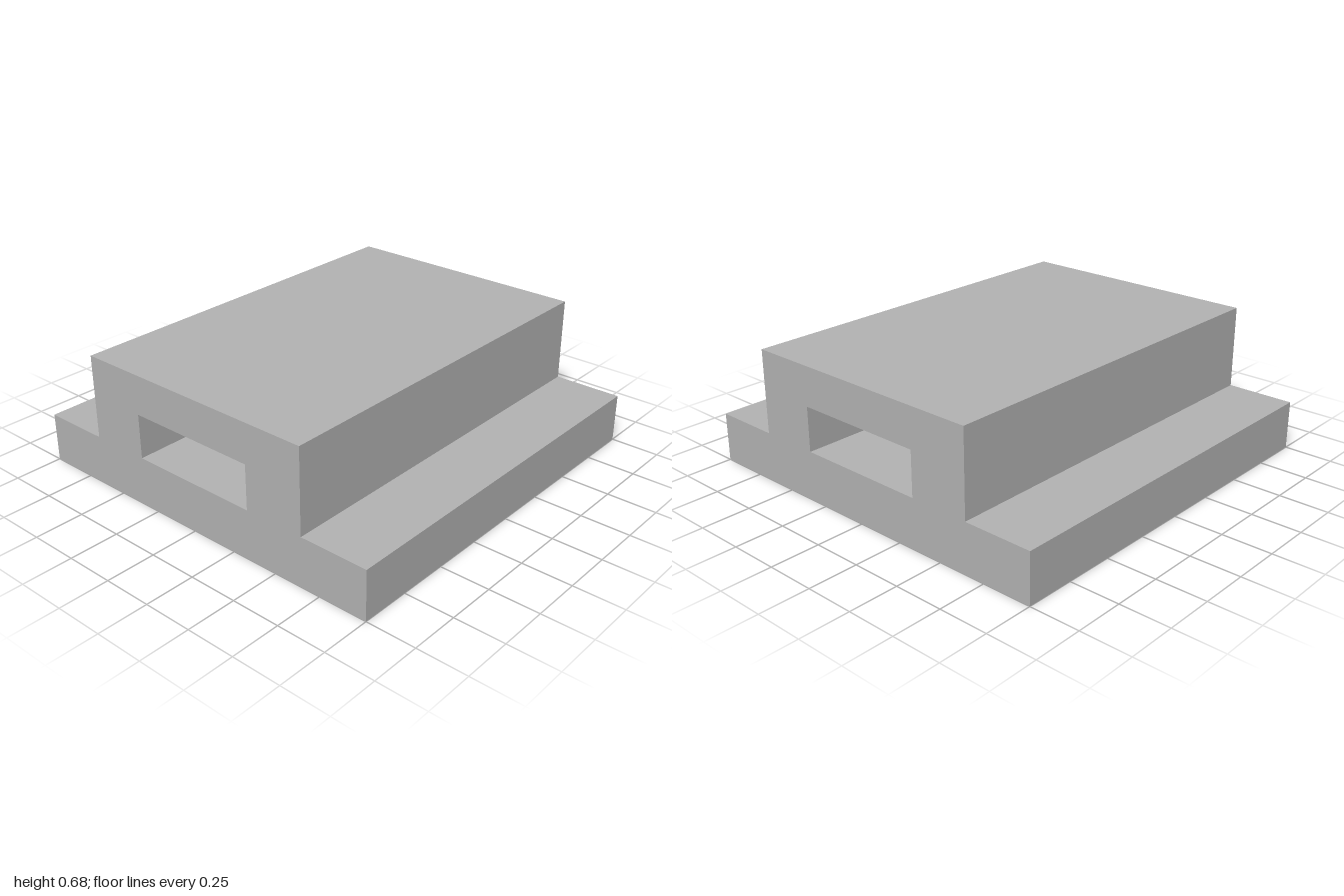
import * as THREE from 'three';

// Profile dimensions
const HALF_WIDTH = 1, DEPTH = 2;
const BASE_TOP = 0.25, TOP = 0.675;
const RAISED_HALF = 0.65;
const SLOT_HALF = 0.34, SLOT_TOP = 0.475;

const toPoints = (pairs) => pairs.map(([x, y]) => new THREE.Vector2(x, y));

export function createModel() {
  const grey = new THREE.MeshStandardMaterial({ color: 0xb2b2b2 });
  grey.name = 'plain grey';

  // Stepped outline: wide base with a raised centre
  const profile = new THREE.Shape(toPoints([
    [-HALF_WIDTH, 0], [HALF_WIDTH, 0], [HALF_WIDTH, BASE_TOP],
    [RAISED_HALF, BASE_TOP], [RAISED_HALF, TOP],
    [-RAISED_HALF, TOP], [-RAISED_HALF, BASE_TOP], [-HALF_WIDTH, BASE_TOP],
  ]));

  // Rectangular slot running right through
  profile.holes.push(new THREE.Path(toPoints([
    [-SLOT_HALF, BASE_TOP], [-SLOT_HALF, SLOT_TOP],
    [SLOT_HALF, SLOT_TOP], [SLOT_HALF, BASE_TOP],
  ])));

  const geometry = new THREE.ExtrudeGeometry(profile, { depth: DEPTH, bevelEnabled: false });
  geometry.translate(0, 0, -DEPTH / 2);

  const block = new THREE.Mesh(geometry, grey);
  block.name = 'slottedBlock';

  const model = new THREE.Group();
  model.name = 'steppedBlock';
  model.add(block);
  return model;
}
